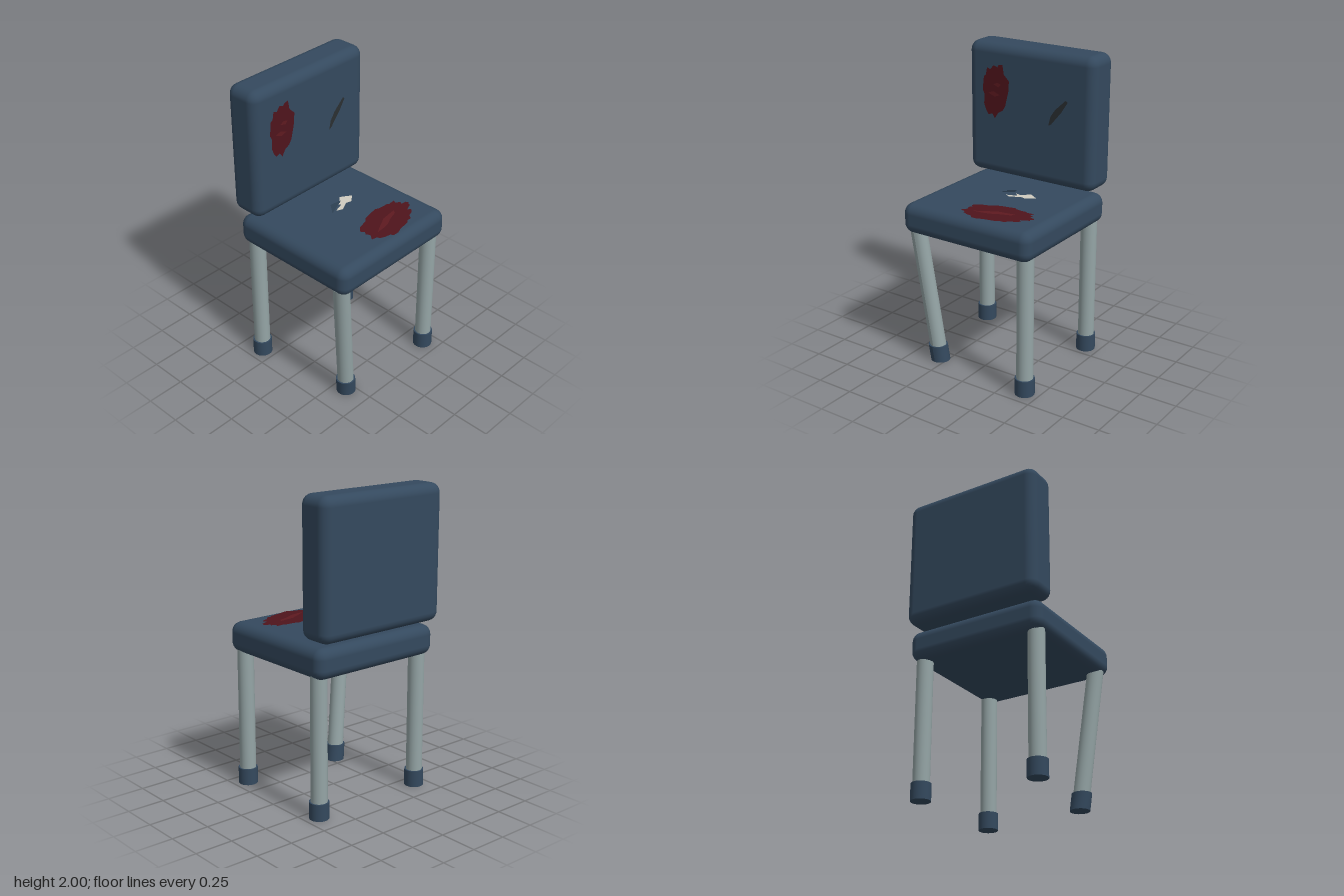
import * as THREE from 'three';
import { RoundedBoxGeometry } from 'three/addons/geometries/RoundedBoxGeometry.js';

const mat = (color) => new THREE.MeshStandardMaterial({ color, side: THREE.DoubleSide });

const SEAT_TOP = 1.097;
const BACK_FRONT = -0.24;

export function createModel() {
  const model = new THREE.Group();
  const blue = mat(0x34495e);
  const steel = mat(0x95a5a6);
  const stain = mat(0x4f141c);
  const smear = mat(0x5e1a20);
  const dark = mat(0x2a2f32);
  const stuffing = mat(0xd0ccc0);

  const add = (name, geometry, material) => {
    const mesh = new THREE.Mesh(geometry, material);
    mesh.name = name;
    model.add(mesh);
    return mesh;
  };

  // Padded cushions
  const cushion = (name, w, h, d, y, z) =>
    add(name, new RoundedBoxGeometry(w, h, d, 3, 0.065), blue).position.set(0, y, z);
  cushion('seat', 0.95, 0.197, 0.91, 0.9985, 0.025);
  cushion('backrest', 0.95, 0.87, 0.24, 1.565, -0.36);

  // Legs with rubber feet; a bent leg is sheared away from its top
  const tube = (r, y0, y1, x, z, kx, kz) => {
    const g = new THREE.CylinderGeometry(r, r, y1 - y0, 20).translate(x, (y0 + y1) / 2, z);
    const p = g.attributes.position;
    for (let i = 0; i < p.count; i++) {
      const drop = 0.91 - p.getY(i);
      p.setX(i, p.getX(i) + kx * drop);
      p.setZ(i, p.getZ(i) + kz * drop);
    }
    if (kx || kz) g.computeVertexNormals();
    return g;
  };
  const leg = (name, x, z, kx = 0, kz = 0) => {
    add(name, tube(0.053, 0.05, 0.92, x, z, kx, kz), steel);
    add(name + 'Foot', tube(0.063, 0, 0.11, x, z, kx, kz), blue);
  };
  leg('frontLeftLeg', 0.405, 0.393);
  leg('rearLeftLeg', 0.405, -0.34);
  leg('rearRightLeg', -0.405, -0.34);
  leg('bentFrontRightLeg', -0.405, 0.393, 0.117, -0.063);

  // Flat patches laid on the seat (x, z) or on the backrest (x, y)
  const outline = (pts, flip) => {
    const v = [];
    for (let i = 0; i < pts.length; i += 2) v.push(new THREE.Vector2(pts[i], flip * pts[i + 1]));
    return v;
  };
  const onSeat = (name, pts, lift, material, hole) => {
    const shape = new THREE.Shape(outline(pts, -1));
    if (hole) shape.holes.push(new THREE.Path(outline(hole, -1)));
    const g = new THREE.ShapeGeometry(shape).rotateX(-Math.PI / 2);
    add(name, g.translate(0, SEAT_TOP + lift, 0), material);
  };
  const onBack = (name, pts, lift, material) =>
    add(name, new THREE.ShapeGeometry(new THREE.Shape(outline(pts, 1)))
      .translate(0, 0, BACK_FRONT + lift), material);

  // Seat stain with a lighter smear
  onSeat('seatStain', [
    -0.10, 0.36, -0.07, 0.32, -0.085, 0.295, -0.07, 0.275, -0.09, 0.255, -0.055, 0.22,
    -0.025, 0.21, 0.015, 0.20, 0.045, 0.175, 0.085, 0.165, 0.165, 0.15, 0.18, 0.16,
    0.22, 0.165, 0.255, 0.165, 0.27, 0.175, 0.32, 0.17, 0.305, 0.195, 0.335, 0.21,
    0.325, 0.23, 0.36, 0.235, 0.37, 0.25, 0.35, 0.265, 0.355, 0.275, 0.30, 0.30,
    0.32, 0.315, 0.295, 0.34, 0.26, 0.35, 0.24, 0.38, 0.21, 0.38, 0.19, 0.395,
    0.135, 0.405, 0.105, 0.41, 0.07, 0.425, 0.03, 0.425, 0.015, 0.405, -0.02, 0.40,
    -0.055, 0.385, -0.06, 0.365,
  ], 0.003, stain);
  onSeat('seatSmear', [
    -0.02, 0.335, 0.05, 0.295, 0.12, 0.26, 0.23, 0.245, 0.215, 0.27,
    0.14, 0.295, 0.09, 0.32, 0.04, 0.33,
  ], 0.005, smear);

  // Backrest stain, smears and slit
  onBack('backStain', [
    -0.355, 1.69, -0.35, 1.74, -0.345, 1.78, -0.33, 1.79, -0.32, 1.84, -0.295, 1.83,
    -0.27, 1.86, -0.24, 1.85, -0.23, 1.865, -0.20, 1.87, -0.19, 1.81, -0.15, 1.77,
    -0.155, 1.70, -0.165, 1.66, -0.18, 1.60, -0.20, 1.57, -0.235, 1.55, -0.26, 1.51,
    -0.28, 1.54, -0.31, 1.53, -0.33, 1.56, -0.345, 1.60, -0.34, 1.66,
  ], 0.003, stain);
  onBack('backSmearUpper', [-0.27, 1.735, -0.24, 1.75, -0.21, 1.74, -0.23, 1.72], 0.005, smear);
  onBack('backSmearLower', [-0.31, 1.675, -0.27, 1.69, -0.22, 1.67, -0.26, 1.655], 0.005, smear);
  onBack('backSlit', [
    0.15, 1.53, 0.17, 1.54, 0.245, 1.63, 0.29, 1.70, 0.275, 1.71, 0.20, 1.64, 0.165, 1.59,
  ], 0.003, dark);

  // Torn seat cover: stuffing, frayed rim and a lifted flap
  const tear = [
    0.11, -0.11, 0.18, -0.065, 0.125, -0.02, 0.085, -0.03, 0.02, 0.005,
    -0.025, -0.015, 0.05, -0.04, 0.015, -0.075, 0.06, -0.06,
  ];
  onSeat('stuffing', tear, 0.003, stuffing);
  onSeat('tearRim', [
    0.115, -0.125, 0.20, -0.065, 0.125, -0.005, 0.09, -0.015, 0.015, 0.015,
    -0.045, -0.005, 0, -0.085, 0.06, -0.075,
  ], 0.005, blue, tear);
  const flap = new THREE.BufferGeometry();
  flap.setAttribute('position', new THREE.Float32BufferAttribute([
    -0.08, 1.12, 0.01, 0.05, 1.135, -0.04, 0, 1.103, -0.085,
  ], 3));
  flap.computeVertexNormals();
  add('tornFlap', flap, blue);

  return model;
}
